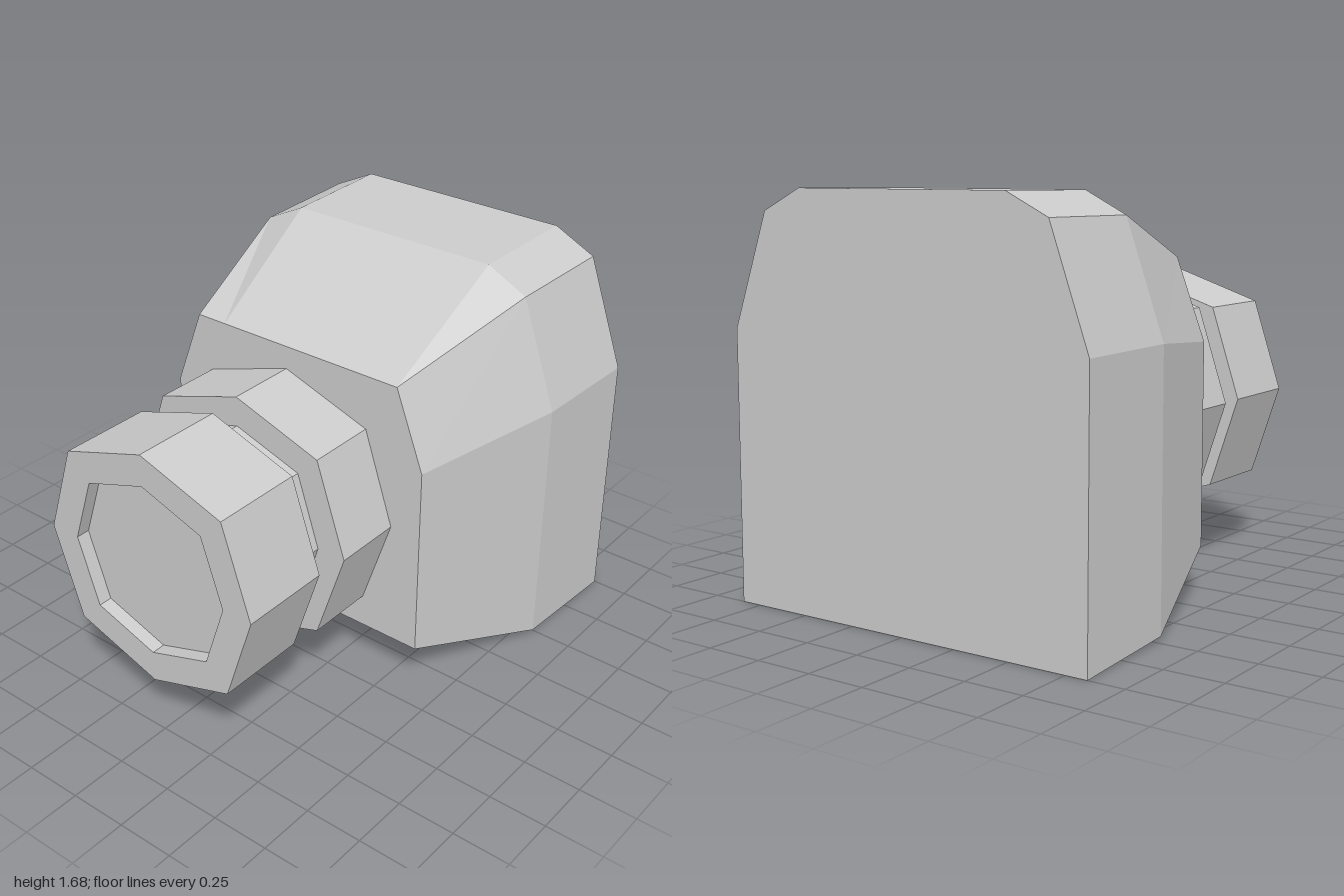
import * as THREE from 'three';

const material = new THREE.MeshStandardMaterial({ color: 0xcccccc, flatShading: true });

// Skins a list of rings (front to back, each counter-clockwise from the front) and caps both ends.
function loft(name, rings) {
  const n = rings[0].length;
  const index = [];
  for (let r = 0; r < rings.length - 1; r++) {
    for (let i = 0; i < n; i++) {
      const a = r * n + i, b = r * n + (i + 1) % n;
      index.push(a, a + n, b + n, a, b + n, b);
    }
  }
  const last = (rings.length - 1) * n;
  for (let i = 1; i < n - 1; i++) {
    index.push(0, i, i + 1, last, last + i + 1, last + i);
  }
  const indexed = new THREE.BufferGeometry();
  indexed.setAttribute('position', new THREE.Float32BufferAttribute(rings.flat(2), 3));
  indexed.setIndex(index);
  const geometry = indexed.toNonIndexed();
  geometry.computeVertexNormals();
  const mesh = new THREE.Mesh(geometry, material);
  mesh.name = name;
  return mesh;
}

// Mirrors the left half of a housing section; points run from bottom to top.
function housingRing(half, zBottom, zTop = zBottom) {
  const height = half[half.length - 1][1];
  const point = (x, y) => [x, y, zBottom + (zTop - zBottom) * y / height];
  return [
    ...half.map(([x, y]) => point(x, y)),
    ...half.slice().reverse().map(([x, y]) => point(-x, y)),
  ];
}

// Eight-sided ring whose axis tips and diagonal corners have their own reach.
function octagon(z, tip, diagonal) {
  const ring = [];
  for (let i = 0; i < 8; i++) {
    const reach = i % 2 ? diagonal * Math.SQRT2 : tip;
    const angle = i * Math.PI / 4;
    ring.push([-0.04 + reach * Math.cos(angle), 0.76 + reach * Math.sin(angle), z]);
  }
  return ring;
}

export function createModel() {
  const model = new THREE.Group();
  model.name = 'nozzleHousing';

  // Tapered housing with bevelled upper corners
  model.add(loft('housing', [
    housingRing([[0.64, 0.21], [0.64, 1.06], [0.51, 1.4], [0.37, 1.4]], 0.16),
    housingRing([[0.83, 0.02], [0.83, 1.125], [0.665, 1.59], [0.485, 1.68]], -0.48),
    housingRing([[0.845, 0], [0.845, 1.125], [0.675, 1.595], [0.49, 1.685]], -1, -0.99),
  ]));

  // Collar against the housing
  model.add(loft('collar', [octagon(0.465, 0.54, 0.405), octagon(0.16, 0.54, 0.405)]));

  // Narrow neck between collar and rim
  model.add(loft('neck', [octagon(0.6, 0.41, 0.31), octagon(0.465, 0.41, 0.31)]));

  // Front rim with a shallow recess
  model.add(loft('rim', [
    octagon(0.94, 0.388, 0.29),
    octagon(1, 0.388, 0.29),
    octagon(1, 0.526, 0.395),
    octagon(0.6, 0.526, 0.395),
  ]));

  return model;
}
